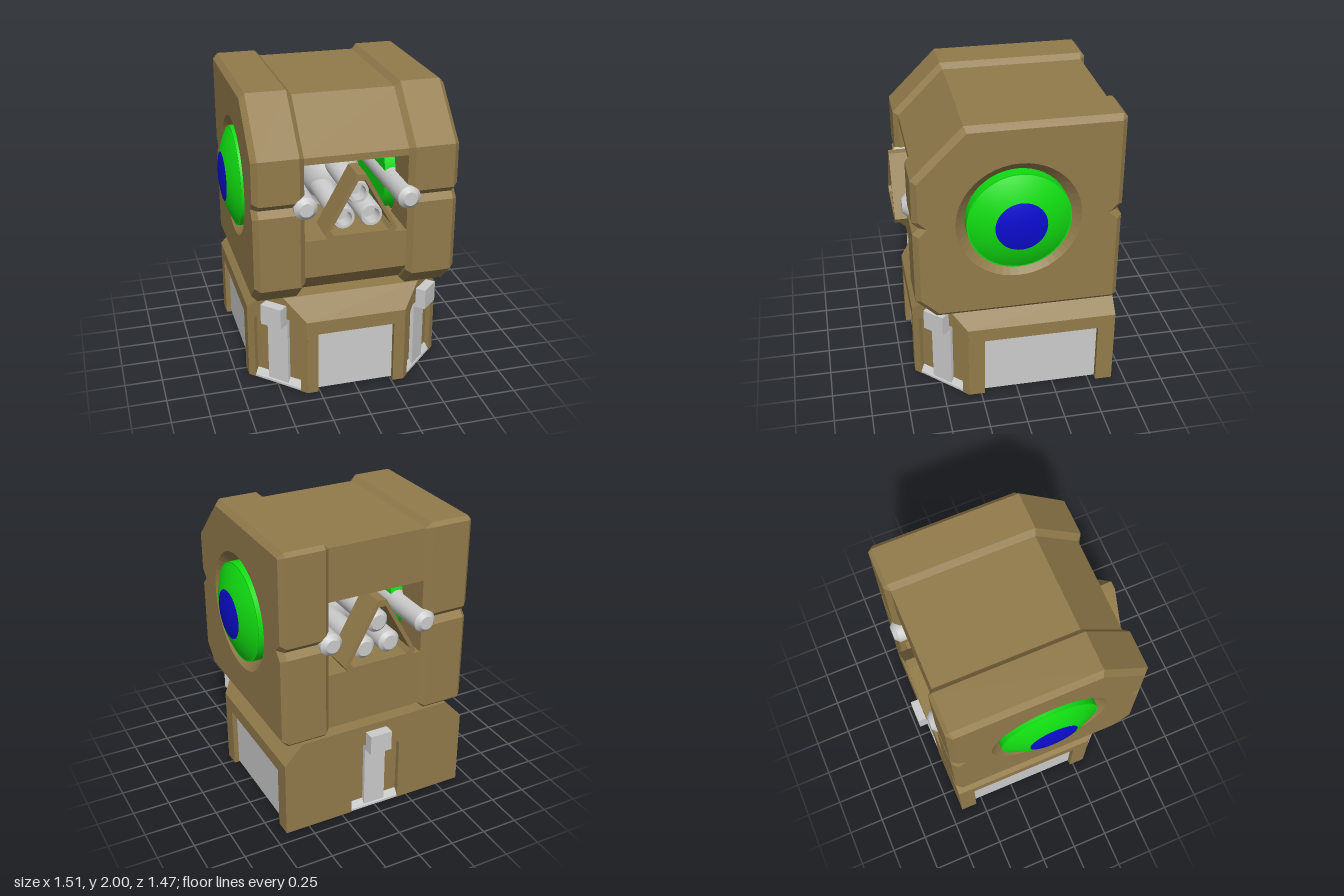
import * as THREE from 'three';
import { toCreasedNormals } from 'three/addons/utils/BufferGeometryUtils.js';

const mat = (color) => new THREE.MeshStandardMaterial({ color, side: THREE.DoubleSide });
const brown = mat(0x927b4b), grey = mat(0xcccccc), green = mat(0x11dd11), blue = mat(0x0c0cd0);
const EYE_Y = 1.34;

const toShape = (pts) => new THREE.Shape(pts.map(([x, y]) => new THREE.Vector2(x, y)));
const vecs = (pts) => pts.map(([x, y]) => new THREE.Vector2(x, y));

function add(parent, name, geometry, material, x = 0, y = 0, z = 0) {
  const mesh = new THREE.Mesh(geometry, material);
  mesh.name = name;
  mesh.position.set(x, y, z);
  parent.add(mesh);
  return mesh;
}

// Extrudes a (z, y) side profile along x, centred on x = 0
function sideExtrude(shape, width, bevel = 0) {
  const depth = width - 2 * bevel;
  const g = new THREE.ExtrudeGeometry(shape, {
    depth, bevelEnabled: bevel > 0, bevelSegments: 1, bevelSize: bevel,
    bevelThickness: bevel, bevelOffset: -bevel, curveSegments: 24,
  });
  return g.translate(0, 0, -depth / 2).rotateY(-Math.PI / 2);
}

// Turned part lying along z
const turnedZ = (pts, sides = 24) =>
  toCreasedNormals(new THREE.LatheGeometry(vecs(pts), sides).rotateX(Math.PI / 2), 0.5);

function buildHead() {
  const head = new THREE.Group();
  head.name = 'head';

  // Bevelled side slabs with V notches front and back and a round eye hole
  const slab = toShape([
    [0.53, 0.67], [0.665, 0.8], [0.665, 1.3], [0.625, EYE_Y], [0.665, 1.38], [0.665, 1.67],
    [0.335, 2], [-0.64, 2], [-0.665, 1.975], [-0.665, 1.38], [-0.625, EYE_Y], [-0.665, 1.3],
    [-0.665, 0.695], [-0.64, 0.67],
  ]);
  slab.holes.push(new THREE.Path().absarc(0, EYE_Y, 0.365, 0, Math.PI * 2, true));
  const slabGeo = sideExtrude(slab, 0.33, 0.035);

  // Middle bridges above and below the open slot
  const upper = toShape([[0.63, 1.61], [0.63, 1.655], [0.32, 1.965], [-0.63, 1.965], [-0.63, 1.61]]);
  const lower = toShape([[0.63, 1.1], [0.63, 0.845], [0.5, 0.71], [-0.63, 0.71], [-0.63, 1.1]]);
  add(head, 'upperBridge', sideExtrude(upper, 0.7), brown);
  add(head, 'lowerBridge', sideExtrude(lower, 0.7), brown);

  // Shallow spherical dome, split into an outer ring and an iris
  const R = 0.65;
  const dome = (r0, r1, n) => Array.from({ length: n + 1 }, (_, i) => {
    const r = r0 + (r1 - r0) * i / n;
    return [r, 0.757 - R + Math.sqrt(R * R - r * r)];
  });
  const rodGeo = turnedZ([[0, -0.695], [0.045, -0.695], [0.075, -0.665], [0.075, 0.665], [0.045, 0.695], [0, 0.695]]);

  for (const [side, s] of [['left', 1], ['right', -1]]) {
    add(head, side + 'Slab', slabGeo, brown, s * 0.5);
    add(head, side + 'Rod', rodGeo, grey, s * 0.335, EYE_Y);

    const eye = new THREE.Group();
    eye.name = side + 'Eye';
    eye.position.y = EYE_Y;
    eye.rotation.z = -s * Math.PI / 2;
    add(eye, 'eyeDrum', new THREE.CylinderGeometry(0.333, 0.333, 0.385, 48), green, 0, 0.4775, 0);
    add(eye, 'eyeDome', new THREE.LatheGeometry(vecs(dome(0.333, 0.165, 6)), 48), green);
    add(eye, 'iris', new THREE.LatheGeometry(vecs(dome(0.165, 0, 5)), 48), blue);
    add(eye, 'eyeSocket', new THREE.LatheGeometry(vecs([[0.333, 0.598], [0.365, 0.63]]), 48), brown);
    head.add(eye);
  }
  return head;
}

function buildBarrels() {
  const guns = new THREE.Group();
  guns.name = 'barrelCluster';

  // Three barrels: hollow at the front, rounded off at the back
  const barrel = turnedZ([
    [0, -0.66], [0.05, -0.66], [0.075, -0.635], [0.075, 0.64], [0.068, 0.66],
    [0.052, 0.66], [0.052, 0.56], [0, 0.56],
  ]);
  for (const [x, y] of [[0, 1.41], [-0.09, 1.245], [0.09, 1.245]]) add(guns, 'barrel', barrel, grey, x, y);

  // Central ball on its post
  add(guns, 'pivotBall', new THREE.SphereGeometry(0.2, 32, 20), grey, 0, 1.3);
  add(guns, 'pivotPost', new THREE.CylinderGeometry(0.13, 0.13, 0.1, 24), grey, 0, 1.13);

  // Blunt triangular frames at both ends
  const tri = [[0.23, -0.17], [0.255, -0.13], [0.03, 0.28], [-0.03, 0.28], [-0.255, -0.13], [-0.23, -0.17]];
  const frame = (scale, depth) => {
    const shape = toShape(tri.map(([x, y]) => [x * scale, y * scale]));
    shape.holes.push(new THREE.Path(vecs(tri.map(([x, y]) => [x * scale * 0.84, y * scale * 0.84]).reverse())));
    return new THREE.ExtrudeGeometry(shape, { depth, bevelEnabled: false });
  };
  add(guns, 'frontFrame', frame(0.92, 0.2), brown, 0, 1.3, 0.535);
  add(guns, 'backFrame', frame(1, 0.2), brown, 0, 1.3, -0.695);
  return guns;
}

// One upright wall of the base, local +z facing outward, with a recess open at the floor
function wall(name, angle, dist, [x0, x1], [n0, n1], top, cut) {
  const g = new THREE.Group();
  g.name = name;
  g.rotation.y = angle;
  const arch = cut
    ? [[n0, top - cut], [n0 + cut, top], [n1 - cut, top], [n1, top - cut]]
    : [[n0, top], [n1, top]];
  const shape = toShape([[x0, 0], [n0, 0], ...arch, [n1, 0], [x1, 0], [x1, 0.535], [x0, 0.535]]);
  add(g, 'wallFrame', new THREE.ExtrudeGeometry(shape, { depth: 0.05, bevelEnabled: false }), brown, 0, 0, dist - 0.05);
  add(g, 'recessPanel', new THREE.BoxGeometry(n1 - n0, top - 0.01, 0.02), cut ? brown : grey,
    (n0 + n1) / 2, top / 2 + 0.005, dist - 0.045);
  return g;
}

// Wall with a narrow strip, a top block and a foot sill
function stripWall(name, angle, dist, half) {
  const g = wall(name, angle, dist, [-half, half], [-0.18, 0.18], 0.52, 0.06);
  add(g, 'strip', new THREE.BoxGeometry(0.155, 0.5, 0.03), grey, 0, 0.255, dist - 0.025);
  add(g, 'topBlock', new THREE.BoxGeometry(0.155, 0.14, 0.11), grey, 0, 0.55, dist + 0.015);
  const sill = toShape([[-0.04, 0], [-0.004, 0], [-0.004, 0.015], [-0.035, 0.06], [-0.04, 0.06]]);
  add(g, 'footSill', sideExtrude(sill, 0.36), grey, 0, 0, dist);
  return g;
}

function buildBase() {
  const base = new THREE.Group();
  base.name = 'base';
  const q = Math.PI / 4;
  base.add(wall('frontWall', 0, 0.665, [-0.335, 0.335], [-0.26, 0.26], 0.44, 0));
  base.add(wall('leftWall', 2 * q, 0.665, [-0.335, 0.665], [-0.225, 0.55], 0.44, 0));
  base.add(wall('rightWall', -2 * q, 0.665, [-0.665, 0.335], [-0.55, 0.225], 0.44, 0));
  base.add(stripWall('leftCornerWall', q, 0.707, 0.233));
  base.add(stripWall('rightCornerWall', -q, 0.707, 0.233));
  base.add(stripWall('backWall', 4 * q, 0.665, 0.665));

  // Roof: sloped front and sides, upright corners and back, flat top
  const low = [[0.335, 0.665], [0.665, 0.335], [0.665, -0.665], [-0.665, -0.665], [-0.665, 0.335], [-0.335, 0.665]];
  const high = [[0.46, 0.54], [0.535, 0.465], [0.535, -0.665], [-0.535, -0.665], [-0.535, 0.465], [-0.46, 0.54]];
  const pos = [];
  const push = ([x, z], y) => pos.push(x, y, z);
  low.forEach((a, i) => {
    const j = (i + 1) % low.length;
    push(a, 0.535); push(low[j], 0.535); push(high[j], 0.67);
    push(a, 0.535); push(high[j], 0.67); push(high[i], 0.67);
    push([0, 0], 0.67); push(high[i], 0.67); push(high[j], 0.67);
  });
  const roof = new THREE.BufferGeometry();
  roof.setAttribute('position', new THREE.Float32BufferAttribute(pos, 3));
  roof.computeVertexNormals();
  add(base, 'roof', roof, brown);

  // Tapered neck under the head
  add(base, 'neck', new THREE.CylinderGeometry(0.28, 0.34, 0.08, 32), grey, 0, 0.695);
  return base;
}

export function createModel() {
  const model = new THREE.Group();
  model.name = 'turretRobot';
  model.add(buildHead(), buildBarrels(), buildBase());
  return model;
}
